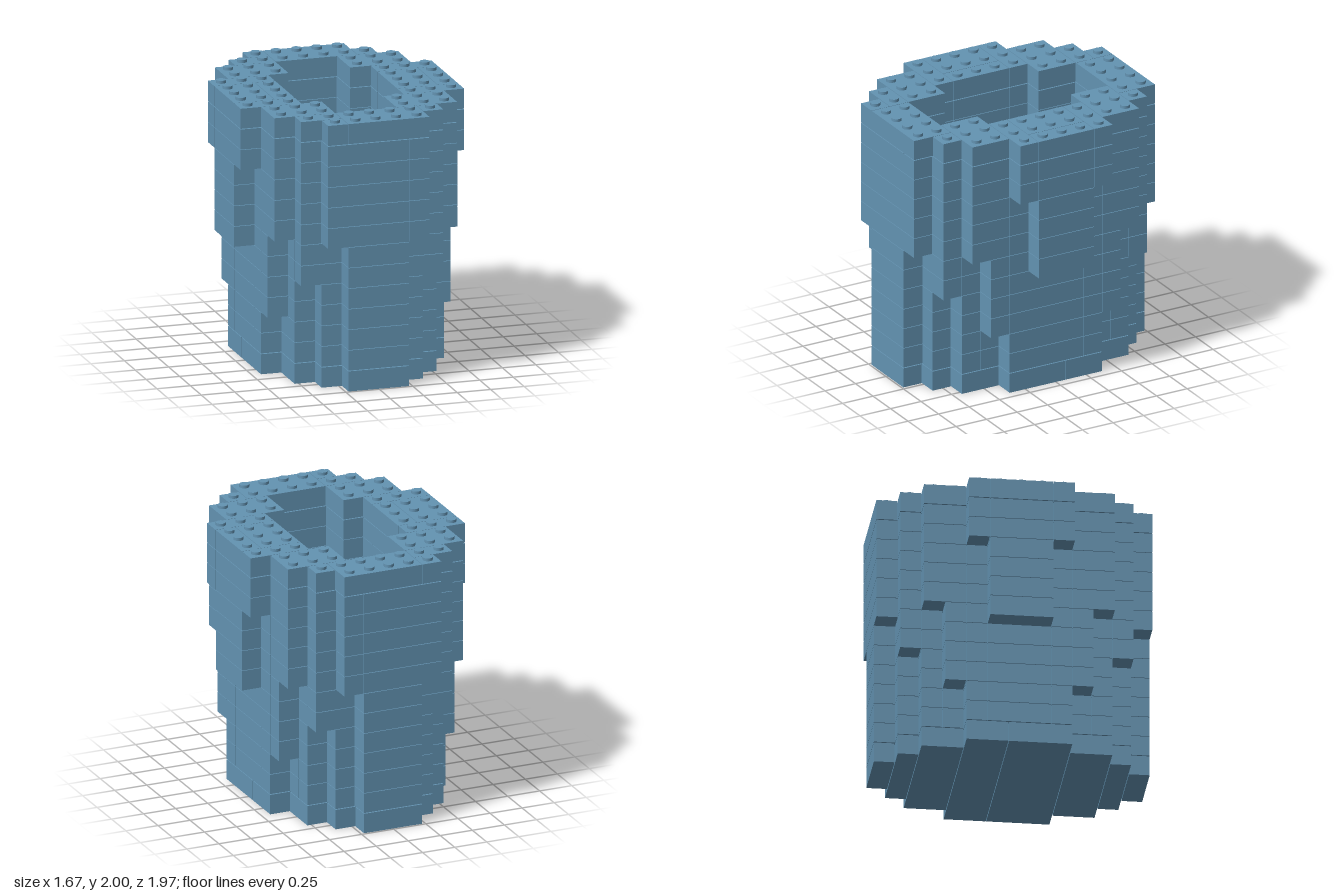
import * as THREE from 'three';

const P = 0.1522;      // stud pitch and layer height
const GAP = 0.004;     // seam between neighbouring bricks
const LAYERS = 13;
const STUD_H = 2 - LAYERS * P;

export function createModel() {
  const model = new THREE.Group();
  model.name = 'brickCup';
  const blue = new THREE.MeshStandardMaterial({ color: 0x6393b2 });
  blue.name = 'dusty blue';

  const studGeo = new THREE.CylinderGeometry(0.036, 0.036, STUD_H + GAP, 16);
  const filled = new Set();
  const key = (l, x, z) => `${l},${x},${z}`;
  const groups = [];
  for (let l = 1; l <= LAYERS; l++) {
    const g = new THREE.Group();
    g.name = l === 1 ? 'floorLayer' : 'wallLayer' + l;
    g.position.y = (l - 1) * P;
    groups[l] = g;
    model.add(g);
  }

  // One brick covering an inclusive range of stud cells, in either order
  function brick(l, xa, xb, za, zb = za) {
    const x0 = Math.min(xa, xb), x1 = Math.max(xa, xb);
    const z0 = Math.min(za, zb), z1 = Math.max(za, zb);
    const geo = new THREE.BoxGeometry((x1 - x0 + 1) * P - GAP, P - GAP, (z1 - z0 + 1) * P - GAP);
    const mesh = new THREE.Mesh(geo, blue);
    mesh.name = 'brick';
    mesh.position.set((x0 + x1) / 2 * P, (P - GAP) / 2 + (l === LAYERS ? GAP : l === 1 ? 0 : GAP / 2), (z0 + z1) / 2 * P);
    groups[l].add(mesh);
    for (let x = x0; x <= x1; x++) for (let z = z0; z <= z1; z++) filled.add(key(l, x, z));
  }

  // Solid floor made of strips
  for (const [half, z0, z1] of [[4, -2, -1], [4, 0, 2], [3, 3, 4], [2, 5, 5], [1, 6, 6],
    [3, -4, -3], [2, -5, -5], [1, -6, -6]]) brick(1, -half, half, z0, z1);

  for (let l = 2; l <= LAYERS; l++) {
    const m = l === LAYERS ? -1 : 1;   // the top course has its seams mirrored
    for (const s of [-1, 1]) {
      // Front and back walls, widening upward
      if (l >= 8) {
        brick(l, -2 * m, m, 5 * s, 6 * s);
        brick(l, 2 * m, 2 * m, 6 * s);
        brick(l, 2 * m, 3 * m, 5 * s);
        brick(l, -3 * m, -3 * m, 5 * s);
      } else {
        const e = l >= 6 ? 3 : 2;
        brick(l, -1, 1, 5 * s, 6 * s);
        for (const sx of [-1, 1]) brick(l, 2 * sx, e * sx, 5 * s);
      }
      if (l <= 3) brick(l, 0, 0, 4 * s);   // low inner ledge

      for (const sx of [-1, 1]) {
        // Stepped corners
        if (l >= 8) brick(l, 2 * sx, 4 * sx, 3 * s, 4 * s);
        else {
          brick(l, sx, 3 * sx, 4 * s);
          brick(l, 2 * sx, (l >= 4 ? 4 : 3) * sx, 3 * s);
        }
        // Ends of the side walls
        brick(l, (l <= 6 ? 2 : 3) * sx, (l >= 11 ? 5 : 4) * sx, 2 * s);
      }
    }
    // Middle of the side walls
    for (const sx of [-1, 1]) {
      if (l >= 7 && sx > 0) {
        brick(l, 3, 4, -1, 1);
        brick(l, 5, 5, -1, 1);
      } else if (l >= 7) {
        brick(l, -3, -3, -1, 1);
        brick(l, -5, -4, -1, 1);
      } else brick(l, 3 * sx, 4 * sx, -1, 1);
    }
  }

  // Studs on every uncovered cell
  for (const k of filled) {
    const [l, x, z] = k.split(',').map(Number);
    if (filled.has(key(l + 1, x, z))) continue;
    const stud = new THREE.Mesh(studGeo, blue);
    stud.name = 'stud';
    stud.position.set(x * P, P + (STUD_H - GAP) / 2, z * P);
    groups[l].add(stud);
  }
  return model;
}
